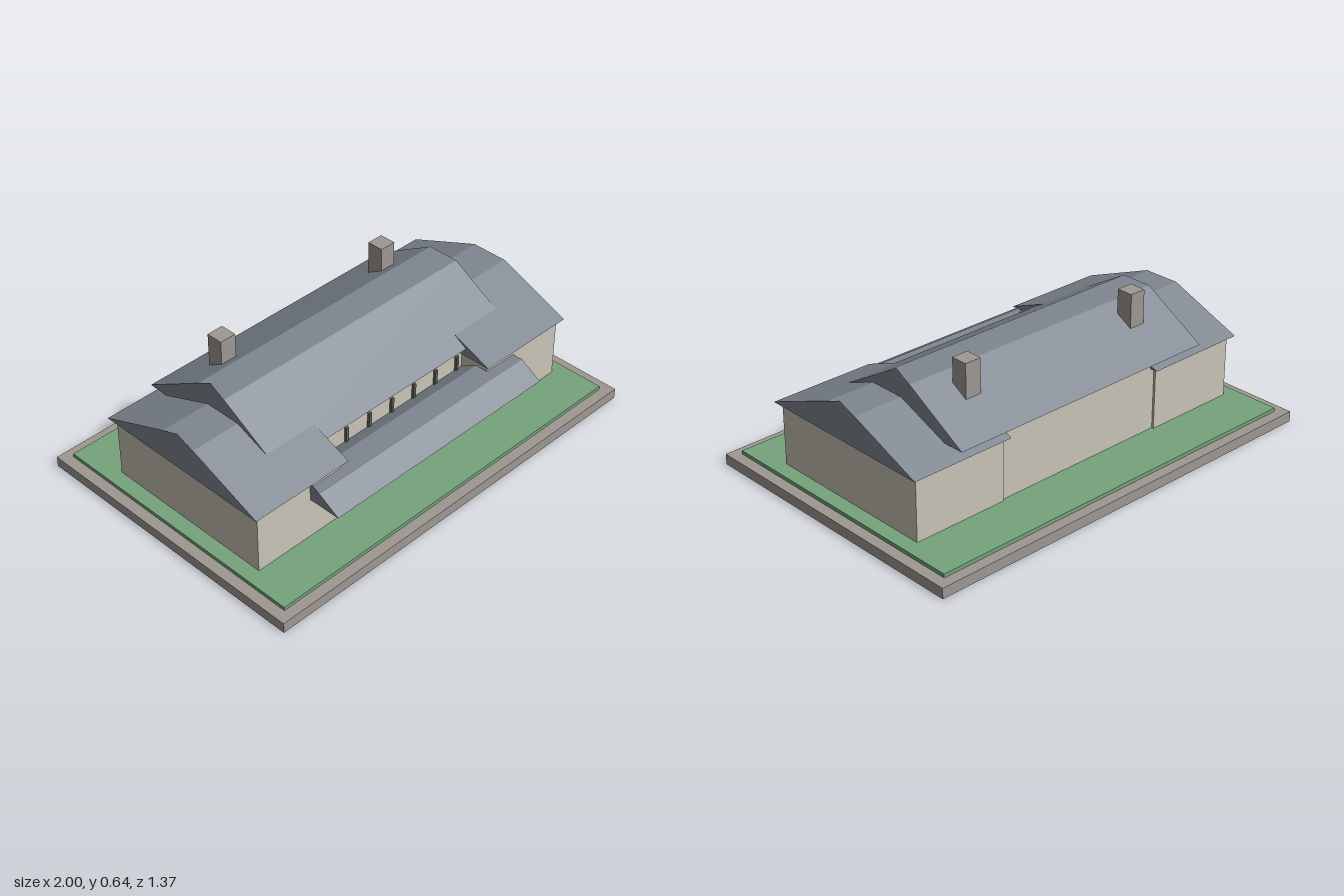
import * as THREE from 'three';

const mat = (name, color) => {
  const m = new THREE.MeshStandardMaterial({ color });
  m.name = name;
  return m;
};

export function createModel() {
  const stone = mat('stone', 0x9e9892);
  const grass = mat('grass', 0x76a47c);
  const wall = mat('wall', 0xc9c4b7);
  const roofing = mat('roofing', 0x7f8791);
  const frame = mat('frame', 0x66615a);
  const model = new THREE.Group();
  model.name = 'house';

  const add = (name, geometry, material, parent = model) => {
    const mesh = new THREE.Mesh(geometry, material);
    mesh.name = name;
    parent.add(mesh);
    return mesh;
  };

  // Box given by its limits on each axis
  const box = (name, material, [x0, x1], [y0, y1], [z0, z1]) =>
    add(name, new THREE.BoxGeometry(x1 - x0, y1 - y0, z1 - z0), material)
      .position.set((x0 + x1) / 2, (y0 + y1) / 2, (z0 + z1) / 2);

  // Flat-topped roof body along x, closed by full triangular gable faces
  const roof = (name, [x0, x1], [z0, z1], eave, peak, flat) => {
    const group = new THREE.Group();
    group.name = name;
    const half = (z1 - z0) / 2;
    const rise = peak - eave;
    const top = rise * (1 - flat);
    const shape = (...pts) => new THREE.Shape(pts.map((p) => new THREE.Vector2(...p)));
    const section = shape([-half, 0], [half, 0], [half * flat, top], [-half * flat, top]);
    const body = new THREE.ExtrudeGeometry(section, { depth: x1 - x0, bevelEnabled: false });
    body.translate(0, 0, -(x1 - x0) / 2).rotateY(Math.PI / 2);
    add(name + 'Body', body, roofing, group);
    for (const side of [-1, 1]) {
      const gable = new THREE.ShapeGeometry(shape([-half, 0], [half, 0], [0, rise]));
      gable.rotateY(side * Math.PI / 2).translate(side * ((x1 - x0) / 2 + 0.001), 0, 0);
      add(name + 'Gable', gable, roofing, group);
    }
    group.position.set((x0 + x1) / 2, eave, (z0 + z1) / 2);
    model.add(group);
  };

  // Plinth and lawn
  box('plinth', stone, [-1, 1], [0, 0.048], [-0.683, 0.683]);
  box('lawn', grass, [-0.95, 0.95], [0.048, 0.065], [-0.635, 0.635]);

  // Central hall
  box('hallWalls', wall, [-0.435, 0.435], [0.065, 0.39], [-0.392, 0.28]);
  roof('mainRoof', [-0.673, 0.673], [-0.43, 0.32], 0.39, 0.61, 0.2);
  roof('porchRoof', [-0.6, 0.6], [0.26, 0.575], 0.255, 0.347, 0.35);

  // Uprights across the front of the hall
  for (let i = -3; i <= 3; i++) {
    const x = i * 0.1317;
    box('upright', frame, [x - 0.0065, x + 0.0065], [0.072, 0.343], [0.278, 0.293]);
  }

  // Mirrored wings and chimneys
  for (const side of [-1, 1]) {
    const span = (a, b) => (side > 0 ? [a, b] : [-b, -a]);
    box('wingWalls', wall, span(0.433, 0.882), [0.065, 0.352], [-0.402, 0.422]);
    roof('wingRoof', span(0.413, 0.906), [-0.427, 0.445], 0.352, 0.527, 0.2);
    box('chimney', stone, span(0.422, 0.5), [0.4, 0.645], [-0.262, -0.184]);
  }
  return model;
}
